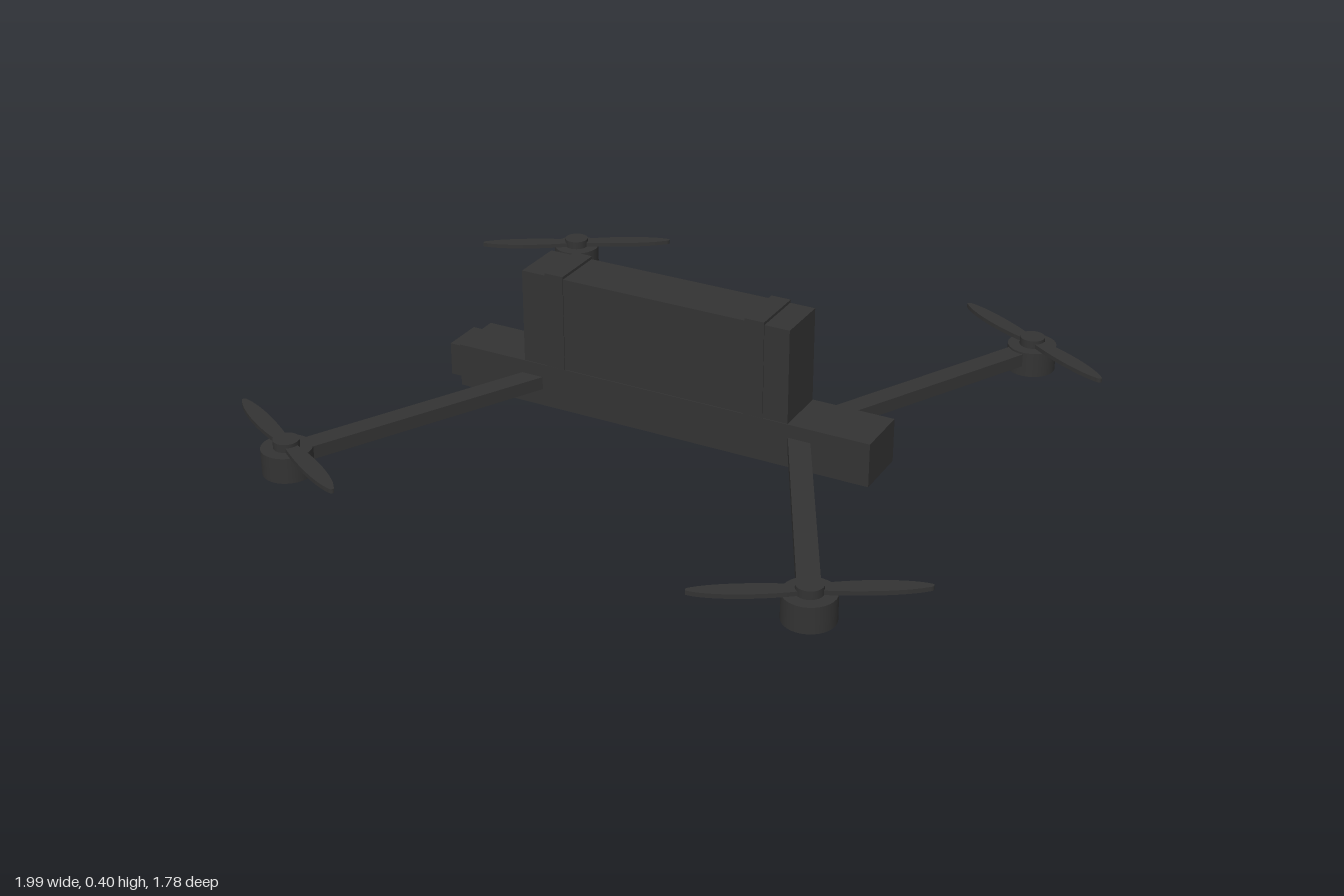
import * as THREE from 'three';

const material = new THREE.MeshStandardMaterial({ color: 0x333333 });

function add(parent, name, geometry, x = 0, y = 0, z = 0) {
  const mesh = new THREE.Mesh(geometry, material);
  mesh.name = name;
  mesh.position.set(x, y, z);
  parent.add(mesh);
  return mesh;
}

// Box given by its extents in x and y and its half width in z
function block(parent, name, x0, x1, y0, y1, halfZ) {
  return add(parent, name, new THREE.BoxGeometry(x1 - x0, y1 - y0, halfZ * 2), (x0 + x1) / 2, (y0 + y1) / 2, 0);
}

// Two slender leaf-shaped blades joined at the hub, lying flat
function propellerGeometry() {
  const L = 0.288, w = 0.026;
  const shape = new THREE.Shape();
  shape.moveTo(0, 0.012);
  shape.bezierCurveTo(0.1, w + 0.008, 0.24, w + 0.004, L, 0.004);
  shape.quadraticCurveTo(L + 0.003, -0.006, L - 0.012, -0.009);
  shape.bezierCurveTo(0.22, -w, 0.1, -w, 0, -0.012);
  shape.bezierCurveTo(-0.1, -w - 0.008, -0.24, -w - 0.004, -L, -0.004);
  shape.quadraticCurveTo(-L - 0.003, 0.006, -L + 0.012, 0.009);
  shape.bezierCurveTo(-0.22, w, -0.1, w, 0, 0.012);
  const geometry = new THREE.ExtrudeGeometry(shape, { depth: 0.012, bevelEnabled: false, curveSegments: 12 });
  return geometry.rotateX(-Math.PI / 2);
}

export function createModel() {
  const model = new THREE.Group();
  model.name = 'quadcopter';

  // Frame and battery pack
  block(model, 'body', -0.64, 0.605, 0, 0.125, 0.08);
  block(model, 'battery', -0.43, 0.37, 0.125, 0.394, 0.077);
  for (const x of [-0.33, 0.27]) block(model, 'batteryStrap', x - 0.028, x + 0.028, 0.12, 0.402, 0.0795);

  // Raised panel on the battery end
  block(model, 'batteryPanel', -0.44, -0.43, 0.18, 0.335, 0.047);
  block(model, 'batteryPanelInset', -0.445, -0.44, 0.2, 0.315, 0.033);

  // Camera
  const camera = new THREE.Group();
  camera.name = 'camera';
  model.add(camera);
  block(camera, 'cameraHousing', -0.685, -0.64, 0.015, 0.11, 0.06);
  add(camera, 'cameraLens', new THREE.CylinderGeometry(0.024, 0.024, 0.03, 24), -0.687, 0.0625, 0).rotation.z = Math.PI / 2;

  // Arms with motors and propellers at the four corners
  const propeller = propellerGeometry();
  const tip = { x: 0.745, z: 0.742 }, root = { x: 0.385, z: 0.04 };
  const dx = tip.x - root.x, dz = tip.z - root.z;
  const armGeometry = new THREE.BoxGeometry(0.058, 0.037, Math.hypot(dx, dz));
  for (const sx of [-1, 1]) {
    for (const sz of [-1, 1]) {
      const corner = new THREE.Group();
      corner.name = (sz > 0 ? 'front' : 'back') + (sx > 0 ? 'Left' : 'Right') + 'Rotor';
      model.add(corner);
      const arm = add(corner, 'arm', armGeometry, sx * (tip.x + root.x) / 2, 0.068, sz * (tip.z + root.z) / 2);
      arm.rotation.y = Math.atan2(sx * dx, sz * dz);

      const x = sx * tip.x, z = sz * tip.z;
      add(corner, 'motor', new THREE.CylinderGeometry(0.068, 0.068, 0.072, 32), x, 0.056, z);
      add(corner, 'hub', new THREE.CylinderGeometry(0.035, 0.035, 0.03, 24), x, 0.1, z);
      add(corner, 'propeller', propeller, x, 0.093, z).rotation.y = sx * sz * Math.PI / 6;
    }
  }
  return model;
}
